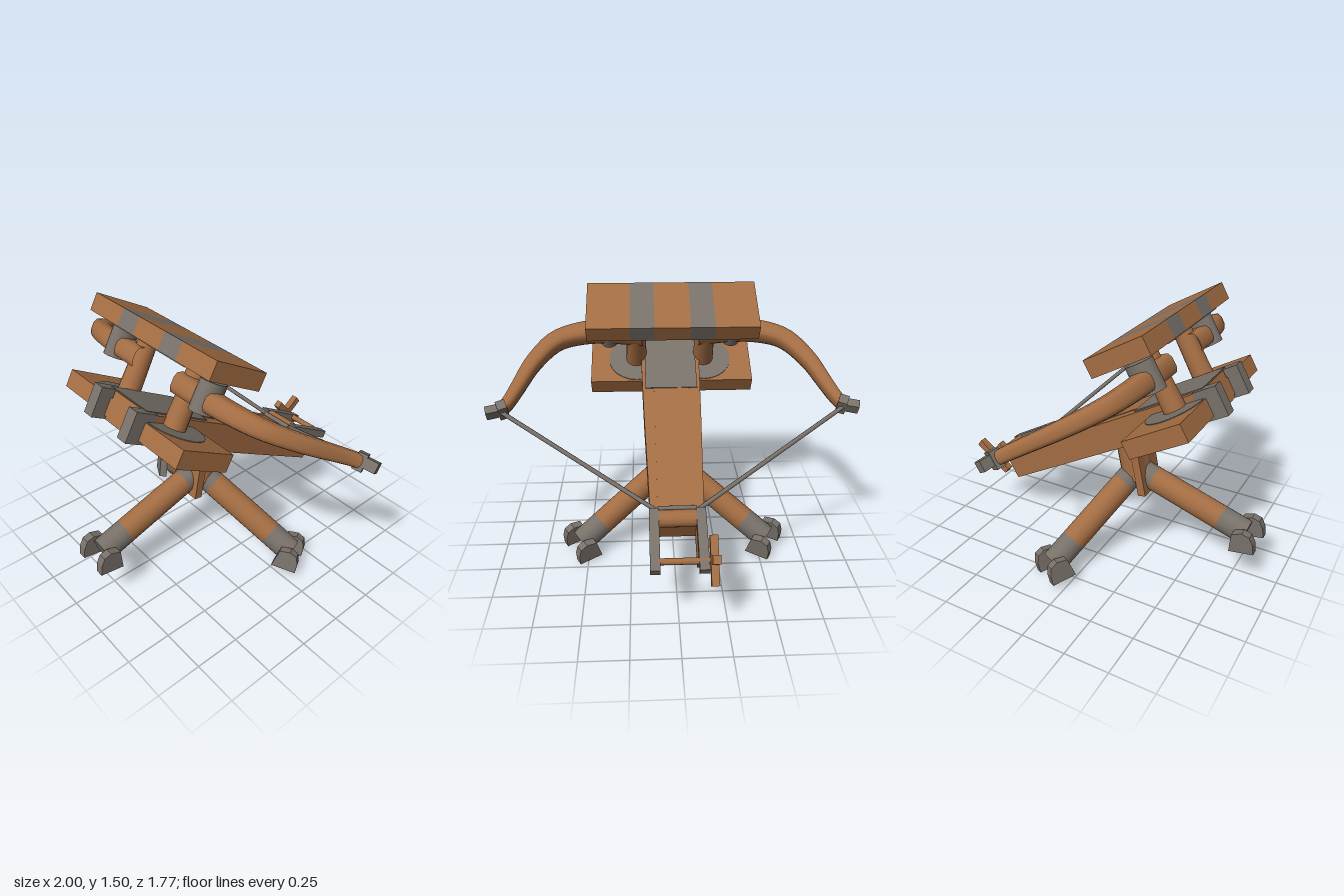
import * as THREE from 'three';

const wood = new THREE.MeshStandardMaterial({ color: 0xa36d43 });
wood.name = 'wood';
const iron = new THREE.MeshStandardMaterial({ color: 0x78716a });
iron.name = 'iron';

function add(parent, name, geometry, material) {
  const mesh = new THREE.Mesh(geometry, material);
  mesh.name = name;
  parent.add(mesh);
  return mesh;
}

// Box given by its ranges on x, y and z
function block(parent, name, material, [x0, x1], [y0, y1], [z0, z1]) {
  const g = new THREE.BoxGeometry(x1 - x0, y1 - y0, z1 - z0);
  g.translate((x0 + x1) / 2, (y0 + y1) / 2, (z0 + z1) / 2);
  return add(parent, name, g, material);
}

// Cylinder between two points
function rod(parent, name, material, a, b, radius, sides = 10) {
  const p = new THREE.Vector3(...a), q = new THREE.Vector3(...b);
  const dir = q.clone().sub(p);
  const mesh = add(parent, name, new THREE.CylinderGeometry(radius, radius, dir.length(), sides), material);
  mesh.position.copy(p).add(q).multiplyScalar(0.5);
  mesh.quaternion.setFromUnitVectors(new THREE.Vector3(0, 1, 0), dir.normalize());
  return mesh;
}

// Mirrored x range
const span = (side, a, b) => (side > 0 ? [a, b] : [-b, -a]);

// Curved limb with a tapering, rounded square section
function limbGeometry(side) {
  const path = [[0.16, 0.9], [0.34, 0.91], [0.49, 0.9], [0.65, 0.84], [0.77, 0.68], [0.84, 0.51], [0.88, 0.41], [0.91, 0.355]];
  const curve = new THREE.CatmullRomCurve3(path.map(([x, z]) => new THREE.Vector3(side * x, 0.885, z)));
  const rings = 24, sides = 16;
  const g = new THREE.TubeGeometry(curve, rings, 1, sides);
  const pos = g.attributes.position, v = new THREE.Vector3();
  for (let i = 0; i < pos.count; i++) {
    const u = Math.floor(i / (sides + 1)) / rings;
    const c = curve.getPointAt(u);
    v.fromBufferAttribute(pos, i).sub(c);
    const flat = Math.hypot(v.x, v.z);
    const k = 1 / Math.pow(flat ** 4 + v.y ** 4, 0.25);
    const w = THREE.MathUtils.lerp(0.075, 0.03, u) * k;
    const h = THREE.MathUtils.lerp(0.06, 0.035, u) * k;
    pos.setXYZ(i, c.x + v.x * w, c.y + v.y * h, c.z + v.z * w);
  }
  g.computeVertexNormals();
  return g;
}

function buildBow() {
  const bow = new THREE.Group();
  bow.name = 'tiltedBow';
  bow.rotation.x = -Math.PI / 6;

  // Stock: centre plank, with side rails that fork at the back
  block(bow, 'stockPlank', wood, [-0.1, 0.1], [0.555, 0.712], [-0.25, 1.06]);
  block(bow, 'stockTopStain', iron, [-0.15, 0.15], [0.71, 0.716], [0.62, 1.05]);

  // Lower board with stains around the posts
  block(bow, 'lowerBoard', wood, [-0.485, 0.47], [0.57, 0.668], [0.71, 1.06]);

  // Upper board with two iron stripes
  const cuts = [-0.485, -0.24, -0.105, 0.095, 0.23, 0.47];
  for (let i = 0; i < 5; i++) {
    block(bow, i % 2 ? 'upperBoardStripe' : 'upperBoard', i % 2 ? iron : wood,
      [cuts[i], cuts[i + 1]], [1.003, 1.1], [0.725, 1.08]);
  }
  block(bow, 'upperBoardUnderside', iron, [-0.29, 0.29], [0.998, 1.003], [0.73, 1.075]);

  for (const side of [1, -1]) {
    // Rails
    const rail = new THREE.Shape([
      [0.097, -0.424], [0.13, -0.424], [0.162, 0.45], [0.177, 1.0], [0.1, 1.0],
    ].map(([x, z]) => new THREE.Vector2(side * x, z)));
    const railGeo = new THREE.ExtrudeGeometry(rail, { depth: 0.163, bevelEnabled: false });
    railGeo.rotateX(Math.PI / 2).translate(0, 0.708, 0);
    add(bow, 'sideRail', railGeo, wood);
    block(bow, 'railTip', iron, span(side, 0.113, 0.18), [0.55, 0.713], [1.0, 1.135]);
    block(bow, 'winchBracket', iron, span(side, 0.095, 0.145), [0.704, 0.75], [-0.525, -0.185]);

    // Posts between the boards
    const stain = add(bow, 'lowerBoardStain', new THREE.CylinderGeometry(0.165, 0.165, 0.006, 24), iron);
    stain.position.set(side * 0.2, 0.669, 0.885);
    const post = add(bow, 'post', new THREE.CylinderGeometry(0.052, 0.062, 0.37, 16), wood);
    post.position.set(side * 0.2, 0.825, 0.885);

    // Limb, its sleeve and its tip
    add(bow, 'bowLimb', limbGeometry(side), wood);
    const sleeve = add(bow, 'limbSleeve', new THREE.CylinderGeometry(0.059, 0.059, 0.16, 20), iron);
    sleeve.scale.z = 1.32;
    sleeve.position.set(side * 0.355, 0.9, 0.917);
    const collar = add(bow, 'limbTipCollar', new THREE.BoxGeometry(0.05, 0.09, 0.06), iron);
    collar.position.set(side * 0.912, 0.885, 0.352);
    collar.rotation.y = side * 0.4;
    const nub = add(bow, 'limbTipNub', new THREE.BoxGeometry(0.07, 0.055, 0.05), iron);
    nub.position.set(side * 0.962, 0.89, 0.335);
    nub.rotation.y = side * 0.25;
    rod(bow, 'bowstring', iron, [side * 0.1, 0.725, -0.19], [side * 0.92, 0.893, 0.335], 0.012, 8);
  }
  rod(bow, 'bowstringCentre', iron, [-0.1, 0.725, -0.175], [0.1, 0.725, -0.175], 0.014, 8);

  // Roller, winch axle and cross handle
  rod(bow, 'roller', wood, [-0.095, 0.71, -0.225], [0.095, 0.71, -0.225], 0.045, 12);
  rod(bow, 'winchAxle', wood, [-0.18, 0.734, -0.471], [0.11, 0.734, -0.471], 0.017, 10);
  for (const turn of [0, Math.PI / 2]) {
    const bar = add(bow, 'crankHandle', new THREE.BoxGeometry(0.04, 0.043, 0.245), wood);
    bar.position.set(-0.17, 0.734, -0.471);
    bar.rotation.x = -0.396 + turn;
  }
  return bow;
}

// Leg along +z, pitched down, with an iron end and two claws
function buildLeg(yaw) {
  const leg = new THREE.Group();
  leg.name = 'leg';
  leg.rotation.y = yaw;
  const shaft = new THREE.Group();
  shaft.name = 'legShaft';
  shaft.rotation.x = 0.506;
  leg.add(shaft);
  const parts = [['legTopStain', iron, 0.03, 0.12], ['legWood', wood, 0.12, 0.55], ['legEnd', iron, 0.55, 0.71]];
  for (const [name, material, z0, z1] of parts) {
    const g = new THREE.CylinderGeometry(0.067, 0.067, z1 - z0, 16);
    g.rotateX(Math.PI / 2).scale(1, 1.12, 1).translate(0, 0, (z0 + z1) / 2);
    add(shaft, name, g, material);
  }
  const claw = new THREE.Shape([
    [0.55, -0.405], [0.69, -0.41], [0.693, -0.35], [0.68, -0.305], [0.64, -0.285], [0.58, -0.295],
  ].map(([z, y]) => new THREE.Vector2(z, y)));
  for (const side of [1, -1]) {
    const g = new THREE.ExtrudeGeometry(claw, { depth: 0.047, bevelEnabled: false });
    g.rotateY(-Math.PI / 2).translate(side * 0.085 + 0.0235, 0, 0);
    add(leg, 'footClaw', g, iron);
  }
  return leg;
}

function buildStand() {
  const stand = new THREE.Group();
  stand.name = 'stand';
  stand.position.set(0, 0.485, 0.125);
  stand.rotation.x = -0.198;
  const column = add(stand, 'column', new THREE.CylinderGeometry(0.1, 0.1, 0.28, 20), wood);
  column.scale.z = 0.86;
  column.position.y = 0.1;
  block(stand, 'columnFrontPlate', wood, [-0.1, 0.1], [-0.125, 0.235], [0.035, 0.082]);
  for (let i = 0; i < 3; i++) stand.add(buildLeg(i * Math.PI * 2 / 3));
  return stand;
}

export function createModel() {
  const model = new THREE.Group();
  model.name = 'mountedCrossbow';
  model.add(buildBow(), buildStand());
  return model;
}
